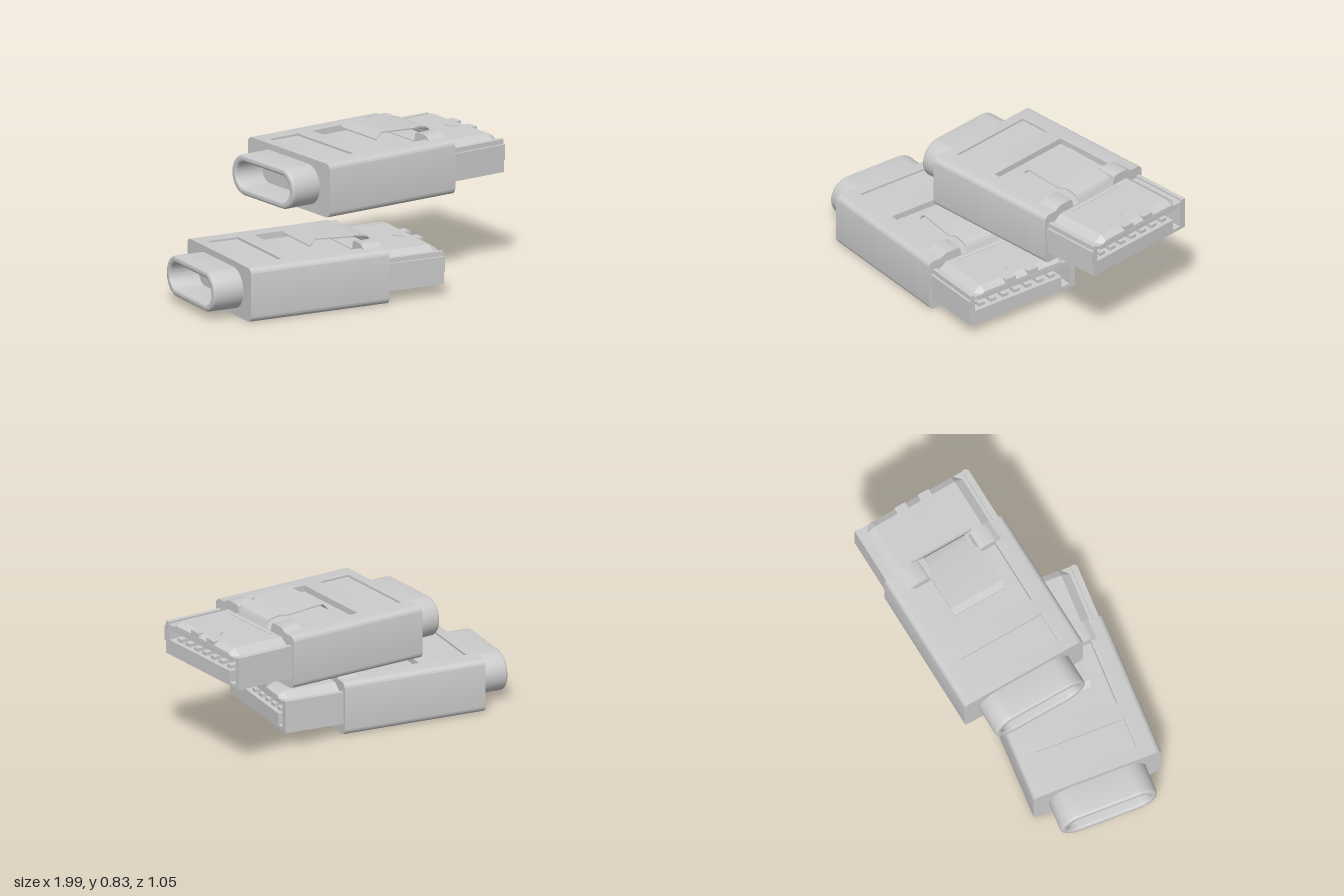
import * as THREE from 'three';
import { toCreasedNormals } from 'three/addons/utils/BufferGeometryUtils.js';

const material = new THREE.MeshStandardMaterial({ color: 0xcccccc });
const thin = new THREE.MeshStandardMaterial({ color: 0xcccccc, side: THREE.DoubleSide });

function add(parent, name, geometry, mat = material) {
  const mesh = new THREE.Mesh(geometry, mat);
  mesh.name = name;
  parent.add(mesh);
  return mesh;
}

// Extrudes a [z, y] outline along x from x0 to x1
function alongX(shape, x0, x1, bevel = 0) {
  const g = new THREE.ExtrudeGeometry(shape, {
    depth: x1 - x0 - 2 * bevel, curveSegments: 16, bevelEnabled: bevel > 0,
    bevelSize: bevel, bevelThickness: bevel, bevelOffset: -bevel, bevelSegments: 4,
  });
  g.rotateY(Math.PI / 2).translate(x0 + bevel, 0, 0);
  return toCreasedNormals(g, 0.6);
}

const outline = (pts) => new THREE.Shape(pts.map(([z, y]) => new THREE.Vector2(-z, y)));

// Housing cross-section: rounded box whose top follows the given half outline
function housingShape(top) {
  const w = 0.378, h = 0.305, r = 0.035;
  const s = new THREE.Shape();
  s.moveTo(-w + r, 0);
  s.lineTo(w - r, 0);
  s.absarc(w - r, r, r, -Math.PI / 2, 0);
  s.lineTo(w, h - r);
  s.absarc(w - r, h - r, r, 0, Math.PI / 2);
  top.forEach(([z, y]) => s.lineTo(z, y));
  [...top].reverse().forEach(([z, y]) => s.lineTo(-z, y));
  s.lineTo(-w + r, h);
  s.absarc(-w + r, h - r, r, Math.PI / 2, Math.PI);
  s.lineTo(-w, r);
  s.absarc(-w + r, r, r, Math.PI, Math.PI * 1.5);
  return s;
}

// Pill-shaped path centred at height y
function pill(path, halfWidth, r, y) {
  const c = halfWidth - r;
  path.moveTo(-c, y - r);
  path.lineTo(c, y - r);
  path.absarc(c, y, r, -Math.PI / 2, Math.PI / 2);
  path.lineTo(-c, y + r);
  path.absarc(-c, y, r, Math.PI / 2, Math.PI * 1.5);
  return path;
}

// Bent strip through [x, y, halfWidth] stations
function strip(stations, t) {
  const pos = [], idx = [], n = stations.length;
  stations.forEach(([x, y, w]) => pos.push(x, y, -w, x, y, w, x, y - t, w, x, y - t, -w));
  for (let i = 0; i < n - 1; i++) {
    for (let k = 0; k < 4; k++) {
      const a = i * 4 + k, b = i * 4 + (k + 1) % 4;
      idx.push(a, b, b + 4, a, b + 4, a + 4);
    }
  }
  const e = (n - 1) * 4;
  idx.push(0, 2, 1, 0, 3, 2, e, e + 1, e + 2, e, e + 2, e + 3);
  const g = new THREE.BufferGeometry();
  g.setAttribute('position', new THREE.Float32BufferAttribute(pos, 3));
  g.setIndex(idx);
  return toCreasedNormals(g, 0.5);
}

function createConnector() {
  const g = new THREE.Group();

  // Hollow cable boot
  const boot = pill(new THREE.Shape(), 0.286, 0.115, 0.155);
  boot.holes.push(pill(new THREE.Path(), 0.245, 0.074, 0.155));
  add(g, 'cableBoot', alongX(boot, 0, 0.2, 0.014));

  // Housing in slices: plain, label recess, plain, latch recess, raised front bridge
  const housing = new THREE.Group();
  housing.name = 'housing';
  g.add(housing);
  const recess = (d) => [[0.258, 0.305], [0.258, 0.305 - d]];
  const bridge = [[0.3, 0.305], [0.285, 0.309], [0.268, 0.322], [0.25, 0.327],
    [0.18, 0.327], [0.165, 0.32], [0.155, 0.275]];
  [
    ['rearWall', 0.18, 0.24, []],
    ['labelRecess', 0.24, 0.43, recess(0.012)],
    ['middleWall', 0.43, 0.53, []],
    ['latchRecess', 0.53, 0.92, recess(0.035)],
    ['frontBridge', 0.92, 1.035, bridge],
  ].forEach(([name, x0, x1, top]) => add(housing, name, alongX(housingShape(top), x0, x1)));

  // Plug nose with a guide rail on one side
  const nose = [[-0.36, 0.065], [-0.36, 0.25], [-0.335, 0.25], [-0.335, 0.24], [0.325, 0.24],
    [0.325, 0.252], [0.35, 0.252], [0.35, 0.225], [0.364, 0.225], [0.364, 0.135],
    [0.352, 0.135], [0.352, 0.065]];
  add(g, 'plugRoot', alongX(outline(nose), 1.02, 1.08));
  const sleeve = outline(nose);
  sleeve.holes.push(outline([[0.322, 0.15], [0.322, 0.222], [-0.322, 0.222], [-0.322, 0.085],
    [-0.268, 0.085], [-0.268, 0.15]]));
  add(g, 'plugSleeve', alongX(sleeve, 1.08, 1.385));

  // Contacts inside the slot
  for (let i = 0; i < 7; i++) {
    add(g, 'contact', new THREE.BoxGeometry(0.28, 0.022, 0.04))
      .position.set(1.22, 0.158, 0.257 - i * 0.08);
  }

  // Raised plate with sloped borders on top of the nose
  const plate = strip([[1.02, 0.273, 0.255], [1.345, 0.273, 0.255], [1.383, 0.25, 0.255]], 0.04);
  const p = plate.attributes.position;
  for (let i = 0; i < p.count; i++) {
    if (p.getY(i) < 0.24) p.setZ(i, p.getZ(i) * 1.24);
  }
  plate.computeVertexNormals();
  add(g, 'topPlate', plate);
  for (const s of [-1, 1]) {
    add(g, 'frontTab', new THREE.BoxGeometry(0.04, 0.033, 0.07)).position.set(1.363, 0.256, s * 0.075);
  }
  add(g, 'thumbMark', new THREE.CylinderGeometry(0.043, 0.043, 0.008, 24, 1, false, Math.PI, Math.PI))
    .position.set(1.3, 0.274, 0);

  // Spring latch rising from the nose, through the bridge, over the recess
  add(g, 'springLatch', strip([
    [0.657, 0.328, 0.16], [0.692, 0.363, 0.16], [0.72, 0.362, 0.16], [0.92, 0.35, 0.16],
    [0.935, 0.348, 0.152], [0.95, 0.346, 0.132], [1.0, 0.341, 0.13], [1.03, 0.332, 0.13],
    [1.042, 0.315, 0.13], [1.048, 0.29, 0.135], [1.054, 0.28, 0.19], [1.066, 0.276, 0.19],
  ], 0.008), thin);
  return g;
}

export function createModel() {
  const model = new THREE.Group();
  // Two identical connectors, one resting askew below the other
  [
    ['upperConnector', [-0.39, 0.465, -0.153], 0],
    ['lowerConnector', [-0.957, 0, -0.053], -9],
  ].forEach(([name, position, degrees]) => {
    const c = createConnector();
    c.name = name;
    c.position.set(...position);
    c.rotation.y = THREE.MathUtils.degToRad(degrees);
    model.add(c);
  });
  return model;
}
